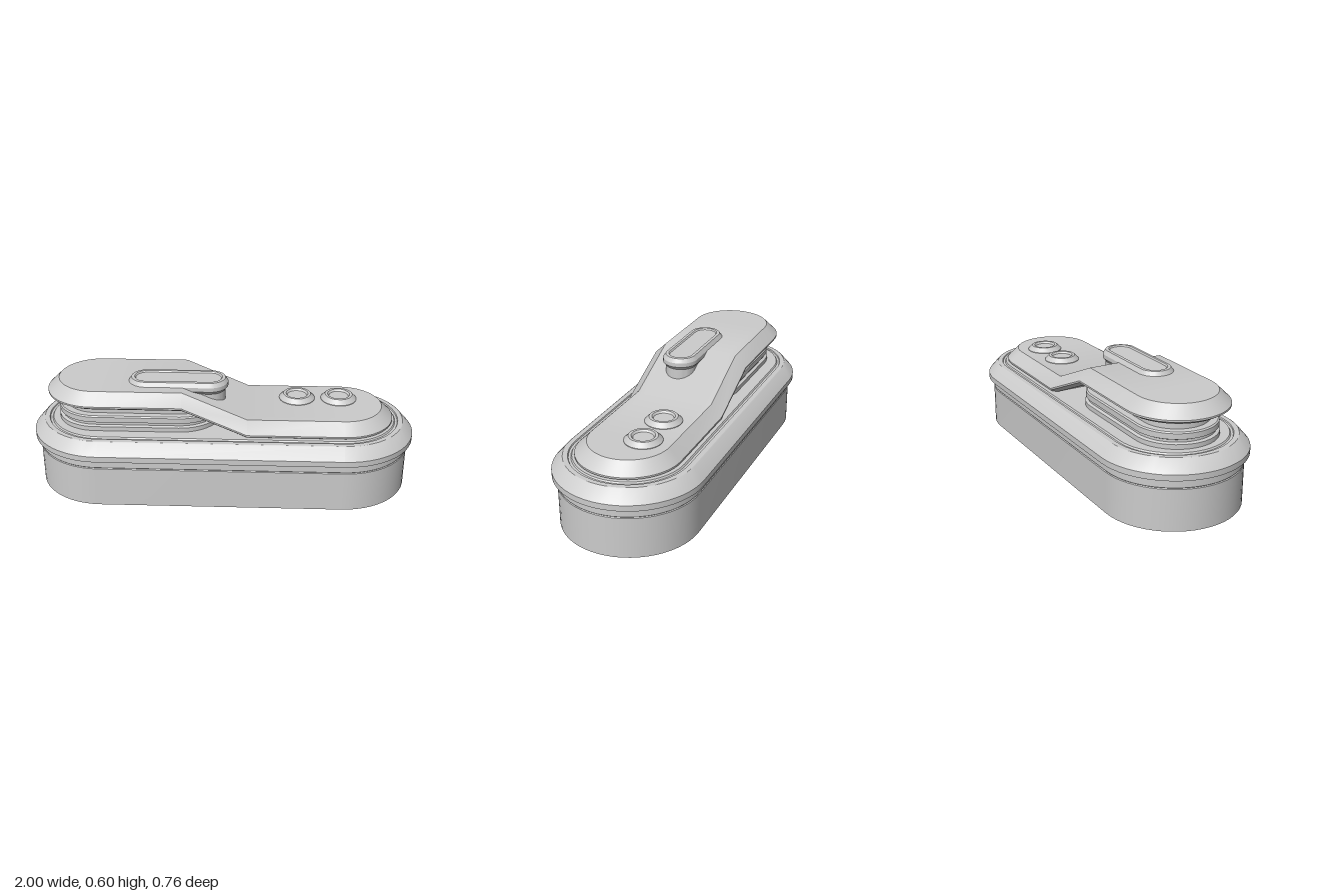
import * as THREE from 'three';
import { toCreasedNormals } from 'three/addons/utils/BufferGeometryUtils.js';

const material = new THREE.MeshStandardMaterial({ color: 0xcccccc });

// Half of a stadium outline, from the right tip over the back to the left tip.
function halfOutline(x0, x1, r, breaks, arc = 14) {
  const pts = [];
  const at = (cx, t) => pts.push([cx + r * Math.cos(t), -r * Math.sin(t)]);
  for (let i = 0; i <= arc; i++) at(x1, (i / arc) * Math.PI / 2);
  for (const b of breaks) pts.push([b, -r]);
  for (let i = 0; i <= arc; i++) at(x0, (1 + i / arc) * Math.PI / 2);
  return pts;
}

// Loft of stadium rings [radius, y]; x0 and x1 are the centres of the round ends.
// lift(x) raises every ring by the same amount along the length.
function stadiumLoft(name, x0, x1, rings, { breaks = [], lift = () => 0, z = 0 } = {}) {
  const pos = [], index = [];
  let n = 0;
  for (const [r, y] of rings) {
    const back = halfOutline(x0, x1, r, breaks);
    const front = back.slice(1, -1).reverse().map(([x, w]) => [x, -w]);
    const loop = [...back, ...front];
    n = loop.length;
    for (const [x, w] of loop) pos.push(x, y + lift(x), w + z);
  }
  for (let i = 0; i < rings.length - 1; i++) {
    for (let k = 0; k < n; k++) {
      const k2 = (k + 1) % n;
      const a = i * n + k, b = i * n + k2, c = b + n, d = a + n;
      index.push(a, b, c, a, c, d);
    }
  }
  // caps made of strips across the width
  const top = (rings.length - 1) * n;
  for (let k = 0; k < n / 2; k++) {
    const quad = [k, k + 1, n - k - 1, (n - k) % n];
    for (const [a, b, c] of [[0, 1, 2], [0, 2, 3]]) {
      const tri = [quad[a], quad[b], quad[c]];
      if (new Set(tri).size < 3) continue;
      index.push(...tri.map((v) => v + top), tri[2], tri[1], tri[0]);
    }
  }
  const g = new THREE.BufferGeometry();
  g.setAttribute('position', new THREE.Float32BufferAttribute(pos, 3));
  g.setIndex(index);
  const mesh = new THREE.Mesh(toCreasedNormals(g, 0.5), material);
  mesh.name = name;
  return mesh;
}

export function createModel() {
  const group = new THREE.Group();
  group.name = 'deviceModel';

  // Base with a fine seam near its upper edge
  group.add(stadiumLoft('base', -0.62, 0.62, [
    [0.355, 0], [0.355, 0.212], [0.351, 0.216], [0.355, 0.22], [0.355, 0.27],
  ]));

  // Wide bevelled rim with a shallow groove on top
  group.add(stadiumLoft('rim', -0.62, 0.62, [
    [0.345, 0.263], [0.38, 0.265], [0.38, 0.295], [0.33, 0.352], [0.325, 0.355],
    [0.3, 0.355], [0.297, 0.349], [0.285, 0.349], [0.28, 0.357],
  ]));

  // Stepped core under the raised end of the cover
  group.add(stadiumLoft('core', -0.65, -0.22, [
    [0.215, 0.35], [0.215, 0.38], [0.2, 0.386], [0.2, 0.398], [0.212, 0.404],
    [0.212, 0.432], [0.205, 0.438], [0.17, 0.438], [0.17, 0.5],
  ]));

  // Cover: low at the right, ramping up to the raised left end
  const rampLow = 0.13, rampHigh = -0.2;
  const lift = (x) => 0.145 * THREE.MathUtils.clamp((rampLow - x) / (rampLow - rampHigh), 0, 1);
  group.add(stadiumLoft('cover', -0.65, 0.625, [
    [0.235, 0.345], [0.265, 0.363], [0.265, 0.372], [0.205, 0.43], [0.165, 0.43],
  ], { breaks: [rampLow, rampHigh], lift }));

  // Oblong button standing over the ramp
  group.add(stadiumLoft('slideButton', -0.39, -0.065, [
    [0.08, 0.44], [0.08, 0.535], [0.094, 0.553], [0.094, 0.575], [0.08, 0.596],
    [0.064, 0.597], [0.058, 0.59],
  ], { z: 0.052 }));

  // Two round knobs with dished tops
  const knobProfile = [
    [0.094, 0], [0.094, 0.003], [0.072, 0.026], [0.058, 0.026], [0.05, 0.016], [0, 0.016],
  ].map(([r, y]) => new THREE.Vector2(r, y));
  const knobGeometry = toCreasedNormals(new THREE.LatheGeometry(knobProfile, 32), 0.5);
  for (const x of [0.39, 0.61]) {
    const knob = new THREE.Mesh(knobGeometry, material);
    knob.name = 'knob';
    knob.position.set(x, 0.43, -0.063);
    group.add(knob);
  }

  return group;
}
